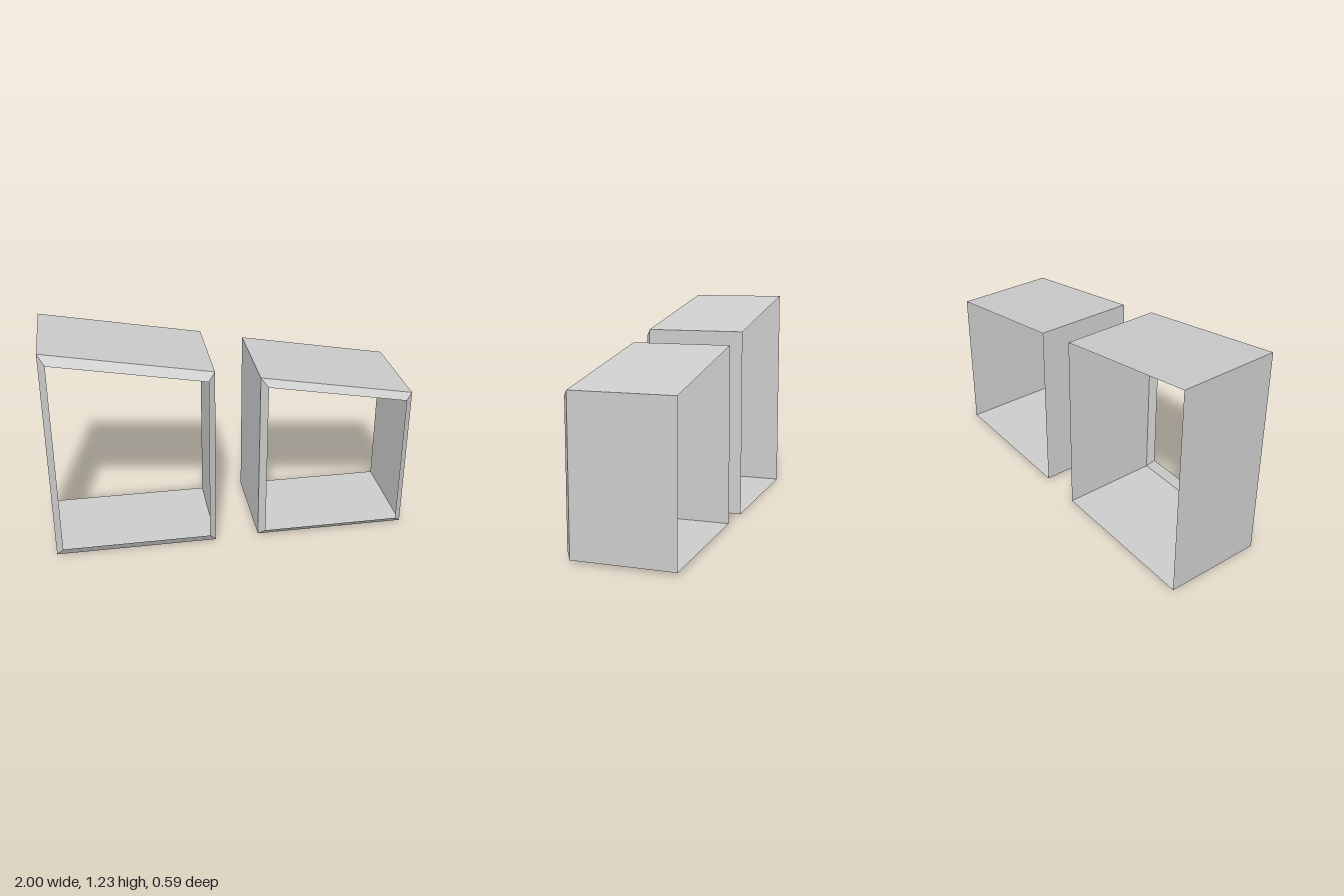
import * as THREE from 'three';

const BACK = -0.295, SHOULDER = 0.265, FRONT = 0.295;

const material = new THREE.MeshStandardMaterial({
  color: 0xcccccc, flatShading: true, side: THREE.DoubleSide,
});

// Joins two four-cornered loops (counter-clockwise from the front) with flat, outward-facing quads.
function band(name, rear, rearZ, fore, foreZ) {
  const positions = [];
  for (let i = 0; i < 4; i++) {
    const j = (i + 1) % 4;
    const a = [...rear[i], rearZ], b = [...rear[j], rearZ];
    const c = [...fore[j], foreZ], d = [...fore[i], foreZ];
    positions.push(...a, ...b, ...c, ...a, ...c, ...d);
  }
  const geometry = new THREE.BufferGeometry();
  geometry.setAttribute('position', new THREE.Float32BufferAttribute(positions, 3));
  geometry.computeVertexNormals();
  const mesh = new THREE.Mesh(geometry, material);
  mesh.name = name;
  return mesh;
}

// Open sleeve with a sloping top and a bevelled lip around the front opening.
function frame(name, outer, opening) {
  const group = new THREE.Group();
  group.name = name;
  group.add(
    band('sleeve', outer, BACK, outer, SHOULDER),
    band('bevelledLip', outer, SHOULDER, opening, FRONT),
  );
  return group;
}

export function createModel() {
  const model = new THREE.Group();
  model.name = 'slopedFramePair';
  // Corners run bottom left, bottom right, top right, top left as seen from the front.
  model.add(
    frame('tallFrame',
      [[-1, 0], [-0.097, 0], [-0.097, 1.06], [-1, 1.225]],
      [[-0.962, 0.05], [-0.135, 0.05], [-0.135, 1.018], [-0.962, 1.168]]),
    frame('shortFrame',
      [[0.148, 0.012], [1, 0.012], [0.997, 0.853], [0.148, 1.006]],
      [[0.186, 0.05], [0.962, 0.05], [0.959, 0.82], [0.186, 0.96]]),
  );
  return model;
}
